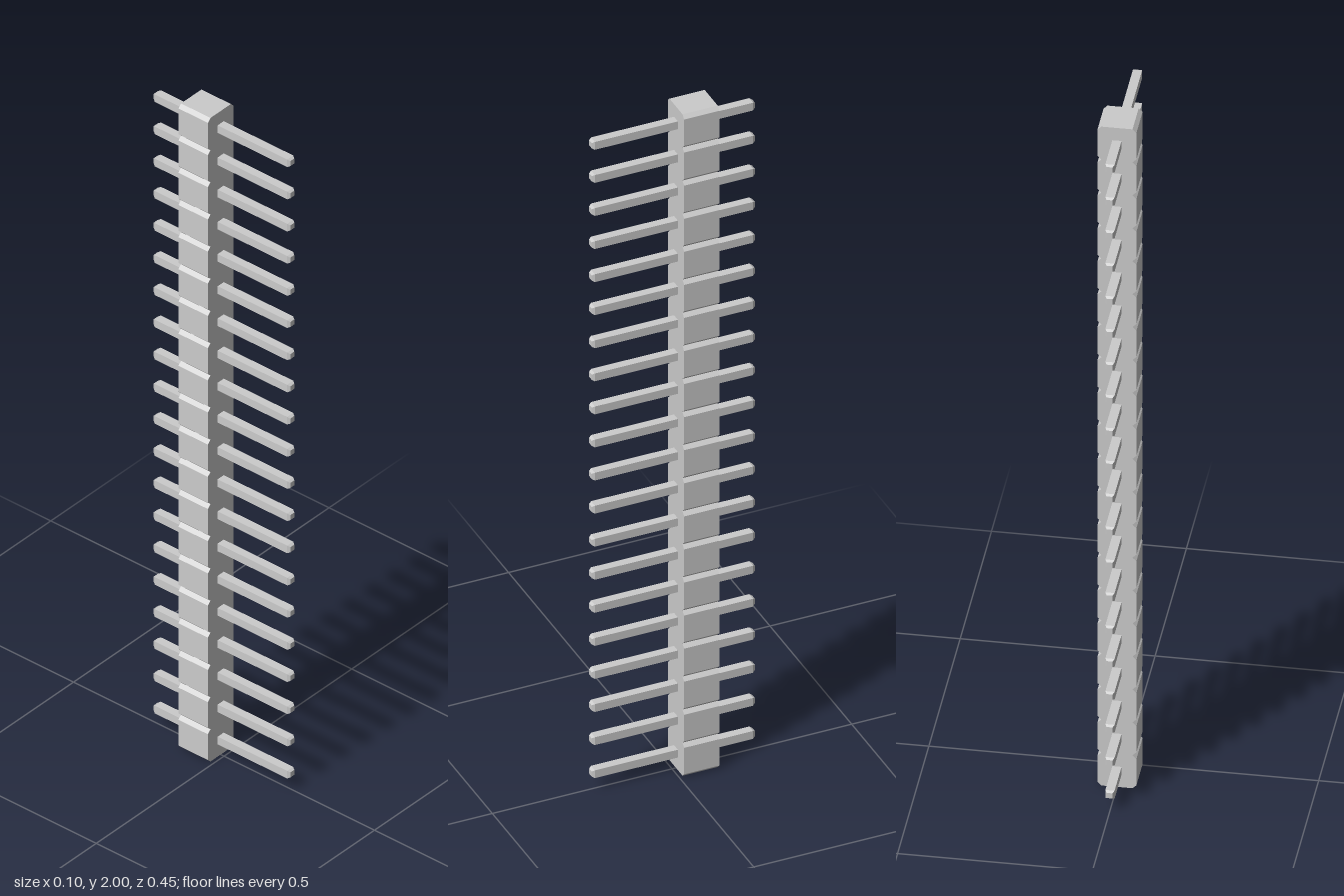
import * as THREE from 'three';

const COUNT = 20;        // number of pins
const PITCH = 0.1;       // spacing along y
const HALF = PITCH / 2;  // half width of the housing
const CUT = 0.01;        // corner chamfer of each housing cell

// Notched strip: a column of chamfered square cells joined together
function createHousing(material) {
  const right = [];
  for (let i = 0; i < COUNT; i++) {
    const y0 = i * PITCH, y1 = y0 + PITCH;
    right.push([HALF - CUT, y0], [HALF, y0 + CUT], [HALF, y1 - CUT]);
  }
  right.push([HALF - CUT, COUNT * PITCH]);
  const left = right.map(([x, y]) => [-x, y]).reverse();
  const shape = new THREE.Shape([...right, ...left].map(([x, y]) => new THREE.Vector2(x, y)));
  const geometry = new THREE.ExtrudeGeometry(shape, { depth: 0.098, bevelEnabled: false });
  const housing = new THREE.Mesh(geometry, material);
  housing.name = 'housing';
  housing.position.z = -0.109;
  return housing;
}

// Square pin along z with tapered tips
function createPinGeometry() {
  const length = 0.454, half = 0.0118, tip = 0.007, taper = 0.004;
  const s = half - taper;
  const shape = new THREE.Shape([[-s, -s], [s, -s], [s, s], [-s, s]].map(([x, y]) => new THREE.Vector2(x, y)));
  const geometry = new THREE.ExtrudeGeometry(shape, {
    depth: length - 2 * tip, bevelEnabled: true, bevelSegments: 1, bevelSize: taper, bevelThickness: tip,
  });
  geometry.center();
  return geometry;
}

export function createModel() {
  const material = new THREE.MeshStandardMaterial({ color: 0xcccccc, flatShading: true });
  const model = new THREE.Group();
  model.name = 'pinHeader';
  model.add(createHousing(material));

  // Row of pins, one through the middle of each cell
  const pins = new THREE.Group();
  pins.name = 'pins';
  const pinGeometry = createPinGeometry();
  for (let i = 0; i < COUNT; i++) {
    const pin = new THREE.Mesh(pinGeometry, material);
    pin.name = `pin${i + 1}`;
    pin.position.y = (i + 0.5) * PITCH;
    pins.add(pin);
  }
  model.add(pins);
  return model;
}
